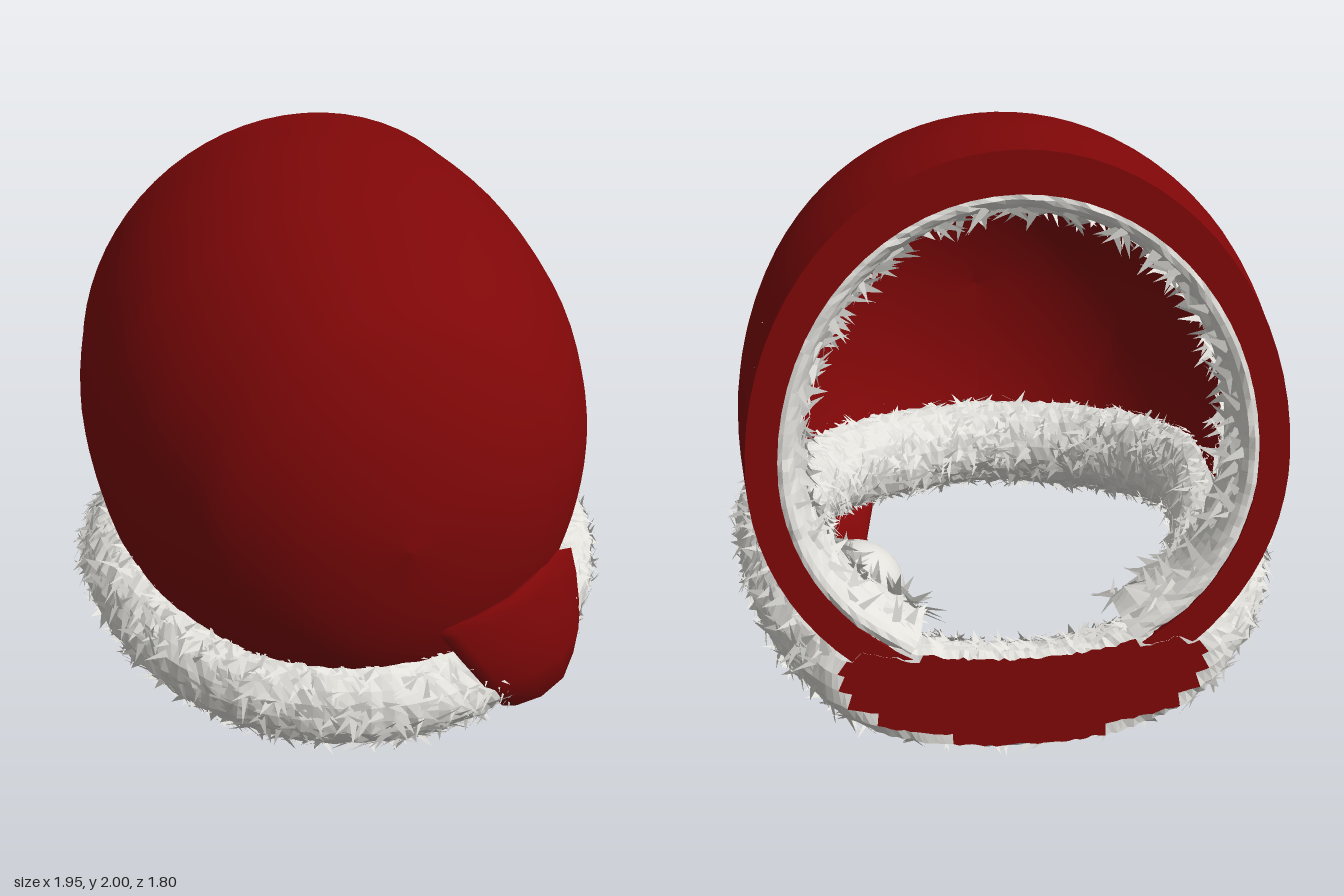
import * as THREE from 'three';

const V = (x, y, z) => new THREE.Vector3(x, y, z);
const MID = 1.05; // height of the hood's axis
const backPlane = (y) => -0.56 - 0.174 * (2 - y); // tilted cut at the back

let seed = 7;
const rand = () => {
  seed = (seed * 16807) % 2147483647;
  return seed / 2147483647;
};
const spread = (a) => (rand() * 2 - 1) * a;

// Surface through rows of points; keep() picks which quads to use
function grid(rows, { flip = false, flat = false, keep = () => true } = {}) {
  const n = rows[0].length, index = [];
  for (let i = 0; i < rows.length - 1; i++) {
    for (let j = 0; j < n - 1; j++) {
      const a = i * n + j, b = a + 1, c = a + n, d = c + 1;
      if (!keep([rows[i][j], rows[i][j + 1], rows[i + 1][j], rows[i + 1][j + 1]])) continue;
      if (flip) index.push(a, c, b, b, c, d);
      else index.push(a, b, c, b, d, c);
    }
  }
  let g = new THREE.BufferGeometry().setFromPoints(rows.flat());
  g.setIndex(index);
  if (flat) g = g.toNonIndexed();
  g.computeVertexNormals();
  return g;
}

// Hood profile from the opening to the front: half width, rise, depth, z
const PROFILE = [
  [0.84, 0.95, 0.8, -0.725], [0.88, 0.95, 0.95, -0.35], [0.865, 0.905, 1.0, 0],
  [0.825, 0.855, 0.97, 0.2], [0.755, 0.785, 0.89, 0.4], [0.63, 0.68, 0.75, 0.6],
  [0.535, 0.575, 0.63, 0.7], [0.375, 0.39, 0.45, 0.8], [0.2, 0.19, 0.25, 0.86], [0.001, 0.001, 0.001, 0.89],
];
const sizeCurve = new THREE.CatmullRomCurve3(PROFILE.map((p) => V(p[0], p[1], p[3])), false, 'catmullrom');
const depthCurve = new THREE.CatmullRomCurve3(PROFILE.map((p) => V(p[2], 0, p[3])), false, 'catmullrom');

// One arch of the hood, open at the bottom where it meets the brim
function arch(s, inner) {
  const p = sizeCurve.getPoint(s);
  const shrink = (back) => (inner ? THREE.MathUtils.lerp(back, 0.95, Math.min(1, s * 2)) : 1);
  const w = p.x * shrink(0.885), rise = p.y * shrink(0.865);
  const depth = Math.max(0.001, depthCurve.getPoint(s).x * shrink(0.87));
  const z = inner && p.z > 0 ? p.z * 0.95 : p.z;
  const brimY = 0.58 - 0.27 * z * z;
  const t = Math.asin(Math.min(1, (MID - brimY) / depth));
  const shear = 0.174 * THREE.MathUtils.clamp((0.3 - p.z) / 1.025, 0, 1);
  const row = [];
  for (let j = 0; j <= 56; j++) {
    const a = -t + (Math.PI + 2 * t) * (j / 56), sn = Math.sin(a);
    const dy = sn * (sn > 0 ? rise : depth);
    row.push(V(w * Math.cos(a), MID + dy, z + shear * dy));
  }
  return row;
}

// Fur roll along a path, trimmed by the back plane, with tufts on its surface
function furRoll(curve, ref, ra, rb, segs, tufts) {
  const sides = 20;
  const frame = (u) => {
    const c = curve.getPoint(u), t = curve.getTangent(u);
    const a = t.clone().cross(ref).normalize();
    return { c, t, a, b: a.clone().cross(t).normalize() };
  };
  const at = (f, ang, k) => f.c.clone()
    .addScaledVector(f.a, ra * k * Math.cos(ang)).addScaledVector(f.b, rb * k * Math.sin(ang));
  const trim = (p) => { p.z = Math.max(p.z, backPlane(p.y)); return p; };
  const rows = [];
  for (let i = 0; i <= segs; i++) {
    const f = frame(i / segs), row = [];
    for (let j = 0; j < sides; j++) row.push(trim(at(f, (j / sides) * Math.PI * 2, 1 + spread(0.04))));
    row.push(row[0].clone());
    rows.push(row);
  }
  if (curve.closed) rows[segs] = rows[0].map((p) => p.clone());

  const pts = [];
  for (let i = 0; i < tufts; i++) {
    const f = frame(rand()), ang = rand() * Math.PI * 2;
    const p = at(f, ang, 0.98), out = at(f, ang, 1).sub(f.c).normalize();
    const around = out.clone().cross(f.t);
    const dir = f.t.clone().multiplyScalar(spread(1)).addScaledVector(around, spread(1)).normalize();
    const side = dir.clone().cross(out).multiplyScalar(0.01 + rand() * 0.01);
    const tip = p.clone().addScaledVector(dir, 0.05 + rand() * 0.05).addScaledVector(out, 0.008 + rand() * 0.022);
    if (Math.min(p.z - backPlane(p.y), tip.z - backPlane(tip.y)) < 0.015) continue;
    pts.push(p.clone().add(side), p.clone().sub(side), tip);
  }
  const tuftGeo = new THREE.BufferGeometry().setFromPoints(pts);
  tuftGeo.computeVertexNormals();
  return { rows, tuftGeo };
}

export function createModel() {
  const red = new THREE.MeshStandardMaterial({ color: 0x7f0708, side: THREE.DoubleSide });
  const white = new THREE.MeshStandardMaterial({ color: 0xe2e1dc, side: THREE.DoubleSide });
  red.name = 'red felt';
  white.name = 'white fur';
  const model = new THREE.Group();
  model.name = 'furTrimmedHood';
  const add = (name, geo, mat) => {
    const m = new THREE.Mesh(geo, mat);
    m.name = name;
    model.add(m);
    return m;
  };

  // Hood: outer shell, inner wall and the flat rim of the back opening
  const outer = [], inner = [];
  for (let i = 0; i <= 36; i++) {
    outer.push(arch(i / 36, false));
    inner.push(arch(i / 36, true));
  }
  add('hoodShell', grid(outer), red);
  add('hoodInside', grid(inner, { flip: true }), red);
  add('openingRim', grid([outer[0], inner[0]], { flip: true }), red);

  // Fur brim around the lower edge, with a red patch where it is cut flat
  const half = [
    [0.4, 0.43, 0.59], [0.66, 0.49, 0.33], [0.77, 0.55, 0], [0.74, 0.52, -0.32],
    [0.65, 0.44, -0.58], [0.47, 0.33, -0.74], [0.24, 0.275, -0.79],
  ];
  const loop = [V(0, 0.41, 0.71), ...half.map((p) => V(...p)), V(0, 0.26, -0.805),
    ...half.slice().reverse().map(([x, y, z]) => V(-x, y, z))];
  const brim = furRoll(new THREE.CatmullRomCurve3(loop, true), V(0, 1, 0), 0.163, 0.168, 220, 5200);
  const isCut = (quad) => quad.every((p) => p.z - backPlane(p.y) < 0.0005);
  add('furBrim', grid(brim.rows, { flip: true, flat: true, keep: (q) => !isCut(q) }), white);
  add('furBrimTufts', brim.tuftGeo, white);
  add('backPatch', grid(brim.rows, { flip: true, flat: true, keep: isCut }), red);

  // Fur lining just inside the back opening
  const liningPath = inner[0].filter((_, j) => j % 4 === 0)
    .map((p) => V(p.x * 0.98, MID + (p.y - MID) * 0.98, p.z + 0.138));
  const lining = furRoll(new THREE.CatmullRomCurve3(liningPath), V(0, 0, 1), 0.055, 0.135, 100, 2200);
  add('furLining', grid(lining.rows, { flip: true, flat: true }), white);
  add('furLiningTufts', lining.tuftGeo, white);

  // Folded tail: edge points, bow and thickness of each section, down and back under
  const sections = [
    [V(0.11, 0.7, 0.82), V(0.56, 0.8, 0.61), 0.07, 0.015],
    [V(0.13, 0.67, 0.83), V(0.66, 0.77, 0.56), 0.075, 0.02],
    [V(0.19, 0.58, 0.83), V(0.71, 0.63, 0.51), 0.085, 0.025],
    [V(0.28, 0.45, 0.82), V(0.75, 0.47, 0.44), 0.09, 0.03],
    [V(0.37, 0.31, 0.76), V(0.75, 0.34, 0.38), 0.07, 0.04],
    [V(0.45, 0.19, 0.61), V(0.7, 0.23, 0.3), 0.02, 0.05],
    [V(0.48, 0.17, 0.38), V(0.64, 0.21, 0.23), 0, 0.05],
    [V(0.48, 0.18, 0.12), V(0.59, 0.2, 0.12), 0, 0.058],
  ];
  const centres = sections.map(([a, b]) => a.clone().lerp(b, 0.5));
  const tail = sections.map(([a, b, bow, t], i) => {
    const w = b.clone().sub(a).multiplyScalar(0.5);
    const along = centres[Math.min(i + 1, 7)].clone().sub(centres[Math.max(i - 1, 0)]);
    const n = along.cross(w).normalize(); // faces away from the hood
    const row = [];
    for (let j = 0; j <= 12; j++) {
      const ang = (j / 12) * Math.PI * 2, sn = Math.sin(ang);
      row.push(centres[i].clone().addScaledVector(w, Math.cos(ang)).addScaledVector(n, bow * sn * sn + t * sn));
    }
    return row;
  });
  // close the top edge along its own curve
  tail.unshift(tail[0].map((p, j) => p.clone().lerp(tail[0][12 - j], 0.5)));
  add('foldedTail', grid(tail), red);

  // Pompom at the end of the tail
  add('pompom', new THREE.SphereGeometry(0.182, 18, 12), white).position.set(0.53, 0.185, -0.005);

  return model;
}
